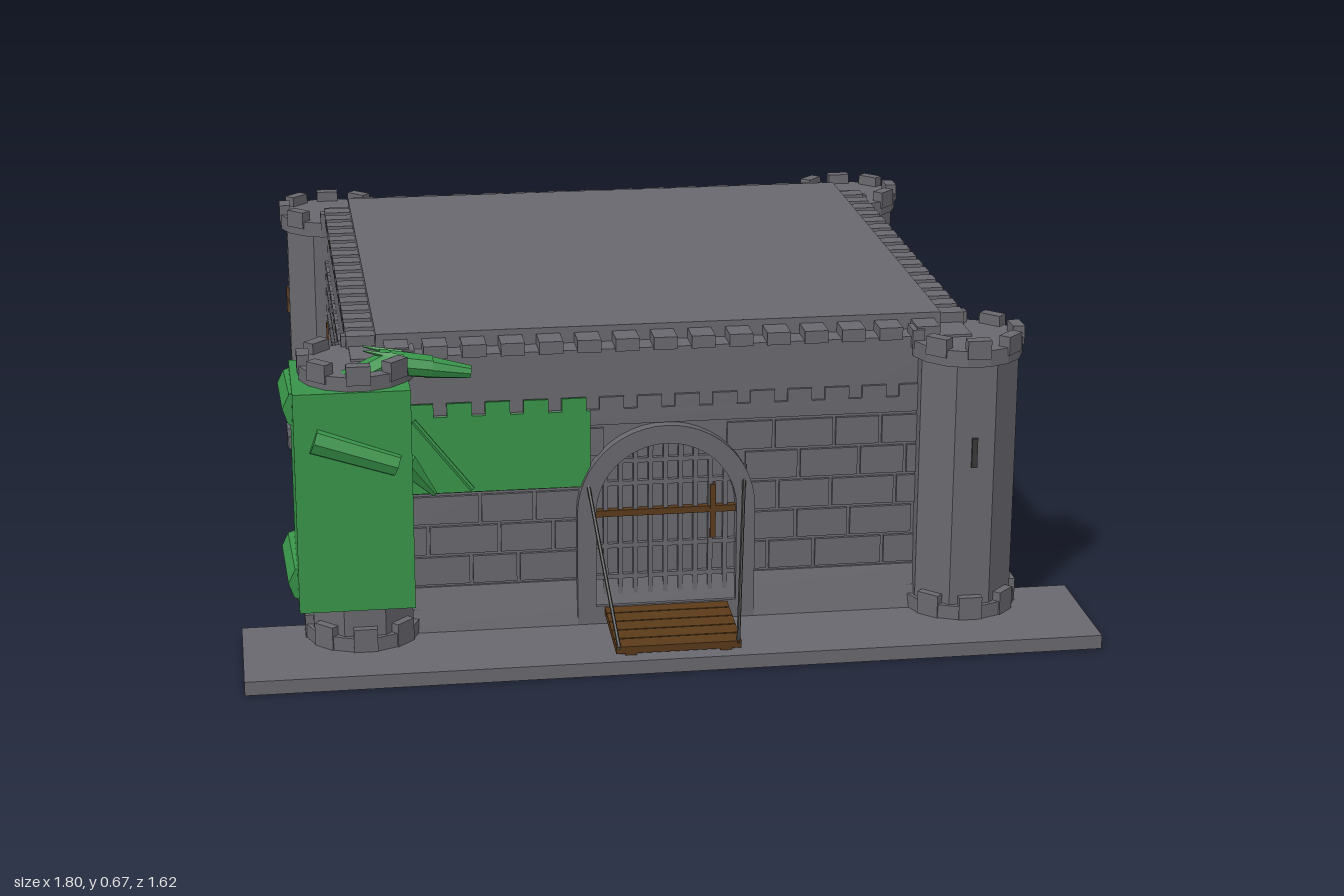
import * as THREE from 'three';
import { mergeGeometries } from 'three/addons/utils/BufferGeometryUtils.js';

const mat = (name, color, side = THREE.FrontSide) => {
  const m = new THREE.MeshStandardMaterial({ color, side, flatShading: true });
  m.name = name;
  return m;
};

export function createModel() {
  const root = new THREE.Group();
  root.name = 'castle';
  const stone = mat('stone grey', 0x69686e);
  const green = mat('dragon green', 0x389449);
  const wood = mat('wood brown', 0x5a3a1a);
  const iron = mat('dark iron', 0x3a3838);

  const add = (name, geo, m, parent = root) => {
    const mesh = new THREE.Mesh(geo, m);
    mesh.name = name;
    parent.add(mesh);
    return mesh;
  };
  // box given by its min and max on every axis
  const box = (x0, x1, y0, y1, z0, z1) =>
    new THREE.BoxGeometry(x1 - x0, y1 - y0, z1 - z0).translate((x0 + x1) / 2, (y0 + y1) / 2, (z0 + z1) / 2);
  // round or square rod between two points
  const rod = (a, b, r0, r1 = r0, sides = 6) => {
    const A = new THREE.Vector3(...a), B = new THREE.Vector3(...b), d = B.clone().sub(A);
    const g = new THREE.CylinderGeometry(r1, r0, d.length(), sides);
    g.applyQuaternion(new THREE.Quaternion().setFromUnitVectors(new THREE.Vector3(0, 1, 0), d.normalize()));
    return g.translate((A.x + B.x) / 2, (A.y + B.y) / 2, (A.z + B.z) / 2);
  };

  // ground plates
  add('basePlate', box(-0.7, 0.7, 0, 0.03, -0.75, 0.57), stone);
  add('frontPlate', box(-0.9, 0.9, 0, 0.03, 0.57, 0.86), stone);

  // main block, sloped foot and roof
  const WX = 0.655, WZ = 0.625;
  add('wallBlock', box(-WX, WX, 0.03, 0.635, -WZ, WZ), stone);
  const foot = box(-0.69, 0.69, 0.03, 0.125, -0.65, 0.65);
  const fp = foot.attributes.position;
  for (let i = 0; i < fp.count; i++) if (fp.getY(i) > 0.1) fp.setXYZ(i, Math.sign(fp.getX(i)) * 0.66, 0.125, Math.sign(fp.getZ(i)) * 0.63);
  foot.computeVertexNormals();
  add('slopedFoot', foot, stone);
  add('roof', box(-0.6, 0.6, 0.6, 0.67, -0.57, 0.57), stone);

  // low battlement around the roof
  const merlons = [];
  for (const s of [-1, 1]) {
    for (let i = 0; i < 15; i++) {
      const x = -0.56 + i * 0.08;
      merlons.push(box(x - 0.025, x + 0.025, 0.63, 0.657, s * 0.6 - 0.03, s * 0.6 + 0.03));
    }
    for (let i = 0; i < 17; i++) {
      const z = -0.51 + i * 0.064;
      merlons.push(box(s * 0.63 - 0.03, s * 0.63 + 0.03, 0.63, 0.657, z - 0.021, z + 0.021));
    }
  }
  add('roofBattlement', mergeGeometries(merlons), stone);

  // brick facing of one wall, looking along +z, with an optional gate opening
  const CY = 0.28, R = 0.18, T = 0.007;
  const facing = (half, gate) => {
    const parts = [];
    const put = (a, b, y0, y1) => {
      const x0 = Math.max(a, -half), x1 = Math.min(b, half);
      if (x1 - x0 > 0.012) parts.push(box(x0, x1, y0, y1, 0, T));
    };
    const lengths = [0.13, 0.1, 0.15, 0.115, 0.14];
    for (let row = 0; row < 5; row++) {
      const y0 = 0.131 + row * 0.068, y1 = y0 + 0.061;
      const dy = Math.max(0, y0 - CY);
      const h = gate && dy < R ? Math.sqrt(R * R - dy * dy) : 0;
      let x = -half - (row % 2) * 0.06;
      for (let i = row; x < half; i++) {
        const end = x + lengths[i % 5];
        if (h) {
          put(x, Math.min(end - 0.007, -h), y0, y1);
          put(Math.max(x, h), end - 0.007, y0, y1);
        } else put(x, end - 0.007, y0, y1);
        x = end;
      }
    }
    put(-half, half, 0.471, 0.505);
    for (let x = -half; x < half; x += 0.08) put(x, x + 0.052, 0.505, 0.532);
    return mergeGeometries(parts);
  };
  const sides = [['front', 0, 0, WZ, 0], ['back', 0, 0, -WZ, Math.PI],
    ['left', WX, 0, 0, Math.PI / 2], ['right', -WX, 0, 0, -Math.PI / 2]];
  for (const [name, x, y, z, turn] of sides) {
    const wall = new THREE.Group();
    wall.name = name + 'Wall';
    wall.position.set(x, y, z);
    wall.rotation.y = turn;
    root.add(wall);
    add('bricks', facing(0.54, name === 'front'), stone, wall);
    if (name === 'front') continue;
    // arrow slits and torches
    for (const sx of name === 'back' ? [-0.42, 0.42] : [-0.43, 0.14, 0.43])
      add('arrowSlit', box(sx - 0.008, sx + 0.008, 0.3, 0.4, T, T + 0.005), wood, wall);
    for (const sx of name === 'back' ? [0.25] : [-0.33, 0.33]) {
      add('torchHandle', rod([sx, 0.285, 0.012], [sx, 0.33, 0.022], 0.005, 0.009), iron, wall);
      add('torchHead', rod([sx, 0.33, 0.022], [sx, 0.365, 0.026], 0.011, 0.005), wood, wall);
    }
    // crossed poles leaning on the wall
    if (name === 'left')
      for (const [a, b, c, d] of [[-0.2, 0.45, -0.1, 0.24], [-0.17, 0.44, -0.06, 0.22], [-0.14, 0.44, -0.03, 0.21], [-0.13, 0.31, -0.17, 0.27]])
        add('leaningPole', rod([a, b, 0.012], [c, d, 0.016], 0.006), wood, wall);
  }

  // corner towers
  for (const sx of [-1, 1]) for (const sz of [-1, 1]) {
    const tower = new THREE.Group();
    tower.name = 'tower';
    tower.position.set(sx * 0.645, 0, sz * 0.615);
    root.add(tower);
    const oct = (r, y0, y1, n = 8) => new THREE.CylinderGeometry(r, r, y1 - y0, n).rotateY(Math.PI / n).translate(0, (y0 + y1) / 2, 0);
    add('shaft', oct(0.113, 0.03, 0.61), stone, tower);
    add('foot', oct(0.122, 0.03, 0.06, 16), stone, tower);
    add('crown', oct(0.12, 0.595, 0.63, 16), stone, tower);
    const blocks = [];
    for (let i = 0; i < 8; i++) {
      const a = i * Math.PI / 4;
      blocks.push(new THREE.BoxGeometry(0.05, 0.04, 0.026).translate(0, 0.633, 0.108).rotateY(a));
      blocks.push(new THREE.BoxGeometry(0.05, 0.05, 0.02).translate(0, 0.055, 0.112).rotateY(a));
    }
    add('towerBlocks', mergeGeometries(blocks), stone, tower);
    add('towerSlitSide', box(sx * 0.106 - 0.004, sx * 0.106 + 0.004, 0.37, 0.435, -0.03, -0.018), wood, tower);
    add('towerSlitEnd', box(-0.006, 0.006, 0.37, 0.435, sz * 0.106 - 0.004, sz * 0.106 + 0.004), iron, tower);
  }

  // gate arch
  const archShape = (r, y0) => {
    const s = new THREE.Shape();
    s.moveTo(-r, y0);
    s.lineTo(r, y0);
    s.lineTo(r, CY);
    s.absarc(0, CY, r, 0, Math.PI, false);
    s.lineTo(-r, y0);
    return s;
  };
  const arch = archShape(0.19, 0.03);
  arch.holes.push(archShape(0.15, 0.07));
  add('gateArch', new THREE.ExtrudeGeometry(arch, { depth: 0.035, bevelEnabled: false, curveSegments: 12 }).translate(0, 0, 0.615), stone);

  // portcullis
  const bars = [];
  for (let i = -4; i <= 4; i++) {
    const x = i * 0.032;
    bars.push(box(x - 0.005, x + 0.005, 0.08, CY + Math.sqrt(0.15 ** 2 - x * x), 0.62, 0.637));
  }
  for (const y of [0.13, 0.2, 0.34, 0.39]) {
    const w = y > CY ? Math.sqrt(0.15 ** 2 - (y - CY) ** 2) : 0.15;
    bars.push(box(-w, w, y - 0.005, y + 0.005, 0.62, 0.635));
  }
  add('portcullis', mergeGeometries(bars), stone);
  add('gateBeam', box(-0.15, 0.15, 0.268, 0.282, 0.625, 0.64), wood);
  add('gateLatch', box(0.095, 0.107, 0.21, 0.33, 0.625, 0.641), wood);

  // drawbridge and chains
  const bridge = new THREE.Group();
  bridge.name = 'drawbridge';
  bridge.position.set(0, 0.06, 0.64);
  bridge.rotation.x = 0.09;
  root.add(bridge);
  for (let i = 0; i < 5; i++)
    add('plank', box(-0.132, 0.132, -0.008, 0.008, i * 0.039, i * 0.039 + 0.036), wood, bridge);
  for (const x of [-0.1, 0.1]) add('bridgeBeam', box(x - 0.012, x + 0.012, -0.014, -0.004, 0, 0.19), wood, bridge);
  for (const s of [-1, 1])
    add('bridgeChain', rod([s * 0.17, 0.37, 0.63], [s * 0.125, 0.045, 0.83], 0.004), iron);

  // hoist on the back wall
  add('hoistPost', box(0.155, 0.18, 0.13, 0.59, -0.655, -0.63), wood);
  add('hoistArm', rod([0.175, 0.585, -0.635], [0.03, 0.585, -0.745], 0.009), wood);
  add('hoistBrace', rod([0.167, 0.47, -0.645], [0.09, 0.58, -0.7], 0.007), wood);
  add('pulley', new THREE.CylinderGeometry(0.02, 0.02, 0.014, 10).translate(0.03, 0.58, -0.742), stone);
  add('hoistRope', rod([0.03, 0.58, -0.738], [0.03, 0.33, -0.738], 0.003), iron);
  add('hoistLoad', box(0.008, 0.052, 0.29, 0.335, -0.76, -0.716), stone);

  // stone pile with a wooden peg
  for (const x of [-0.125, -0.07]) add('pileStone', box(x - 0.024, x + 0.024, 0.03, 0.075, -0.705, -0.655), stone);
  add('pileTop', new THREE.CylinderGeometry(0.024, 0.028, 0.045, 8).translate(-0.097, 0.097, -0.68), stone);
  add('pilePeg', new THREE.CylinderGeometry(0.009, 0.009, 0.01, 8).translate(-0.097, 0.123, -0.68), wood);

  // dragon wrapped around the front corner
  const dragon = new THREE.Group();
  dragon.name = 'dragon';
  root.add(dragon);
  add('body', box(-0.78, -0.54, 0.125, 0.6, 0.5, 0.74), green, dragon);
  add('lowerCoil', rod([-0.765, 0.17, 0.46], [-0.755, 0.16, 0.66], 0.042, 0.045, 8), green, dragon);
  add('upperCoil', rod([-0.765, 0.55, 0.5], [-0.755, 0.55, 0.68], 0.04, 0.045, 8), green, dragon);
  add('frontCoil', rod([-0.74, 0.5, 0.728], [-0.57, 0.44, 0.728], 0.032, 0.028, 8), green, dragon);
  add('claw', rod([-0.55, 0.42, 0.67], [-0.49, 0.345, 0.66], 0.026, 0.006, 6), green, dragon);
  add('neck', rod([-0.68, 0.6, 0.7], [-0.57, 0.635, 0.65], 0.03, 0.028, 8), green, dragon);
  add('head', rod([-0.6, 0.635, 0.648], [-0.49, 0.62, 0.648], 0.028, 0.024, 8), green, dragon);
  add('snout', rod([-0.5, 0.62, 0.648], [-0.41, 0.605, 0.648], 0.024, 0.014, 8), green, dragon);
  for (const z of [0.632, 0.664]) add('horn', rod([-0.55, 0.645, z], [-0.63, 0.665, z], 0.01, 0.002, 5), green, dragon);

  // wing spread flat over the wall, following its notched top
  const wing = new THREE.Shape();
  wing.moveTo(-0.54, 0.338);
  wing.lineTo(-0.16, 0.338);
  wing.lineTo(-0.16, 0.505);
  for (let i = 4; i >= 0; i--) {
    const x = -0.54 + i * 0.08;
    wing.lineTo(x + 0.052, 0.505);
    wing.lineTo(x + 0.052, 0.534);
    wing.lineTo(x, 0.534);
    wing.lineTo(x, 0.505);
  }
  add('wing', new THREE.ExtrudeGeometry(wing, { depth: 0.006, bevelEnabled: false }).translate(0, 0, WZ + T), green, dragon);
  add('wingBone', rod([-0.53, 0.5, 0.64], [-0.41, 0.345, 0.64], 0.006), green, dragon);

  // tail tapering along the side wall
  const tail = [[-0.735, 0.19, 0.5], [-0.72, 0.15, 0.2], [-0.705, 0.16, -0.07], [-0.69, 0.12, -0.3], [-0.685, 0.11, -0.5]];
  for (let i = 0; i < 4; i++)
    add('tail', rod(tail[i], tail[i + 1], 0.028 - i * 0.005, 0.023 - i * 0.005, 6), green, dragon);

  return root;
}
